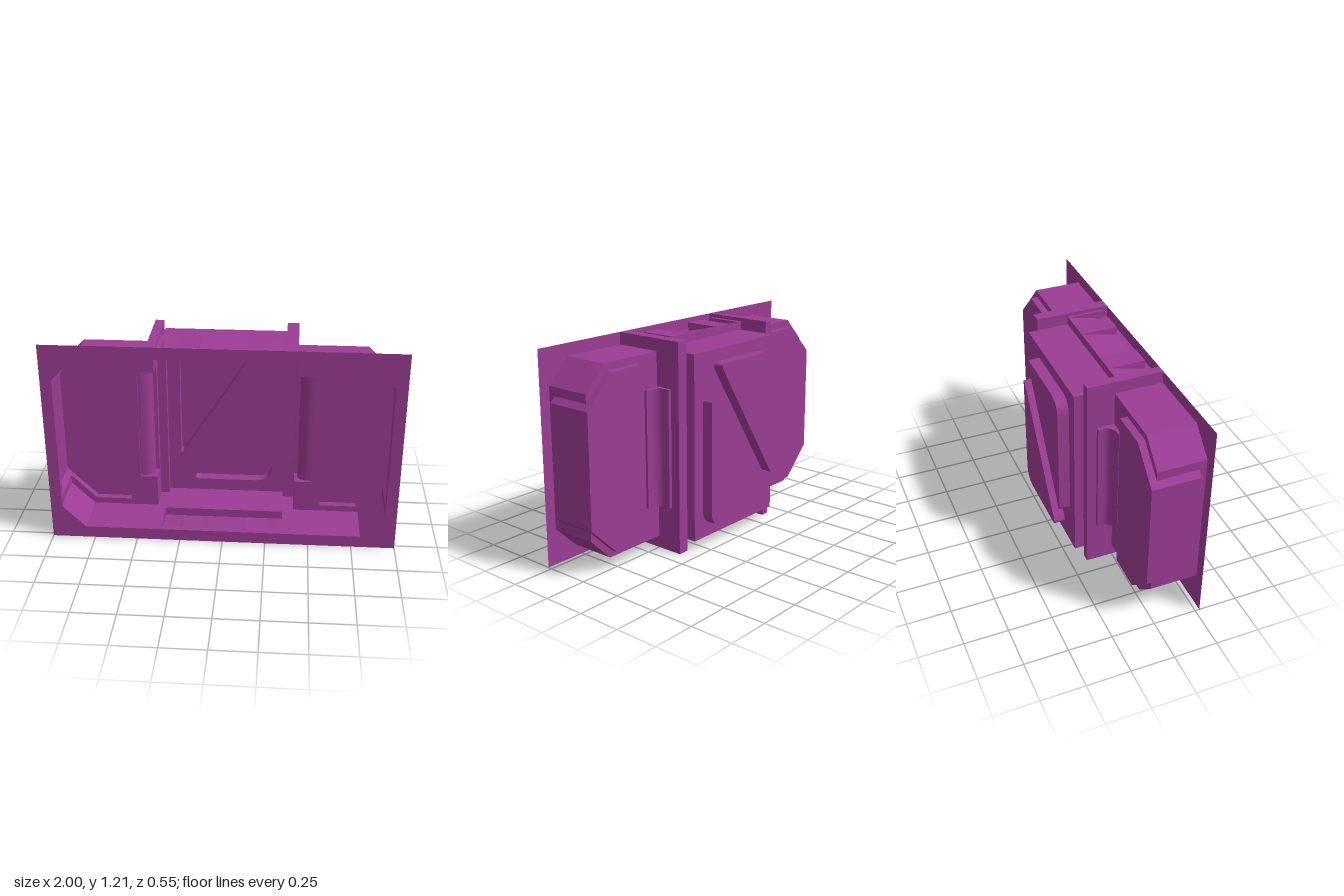
import * as THREE from 'three';
import { toCreasedNormals } from 'three/addons/utils/BufferGeometryUtils.js';

const material = new THREE.MeshStandardMaterial({ color: 0x9c3c94, side: THREE.DoubleSide });

// Drawing planes: (u, v) on the sheet, w across it
const XY = (u, v, w) => [u, v, w];
const XZ = (u, v, w) => [u, w, v];
const ZY = (u, v, w) => [w, v, u];

const vec = (pts) => pts.map(([x, y]) => new THREE.Vector2(x, y));
const mirror = (pts, s) => pts.map(([x, y]) => [s * x, y]);

function finish(geo, name) {
  const mesh = new THREE.Mesh(toCreasedNormals(geo, 0.6), material);
  mesh.name = name;
  return mesh;
}

// Flat sheet with holes
function plate(name, pts, w, map = XY, holes = []) {
  const shape = new THREE.Shape(vec(pts));
  shape.holes = holes.map((h) => new THREE.Path(vec(h)));
  const geo = new THREE.ShapeGeometry(shape);
  const p = geo.attributes.position;
  for (let i = 0; i < p.count; i++) p.setXYZ(i, ...map(p.getX(i), p.getY(i), w));
  return finish(geo, name);
}

// Sheet swept across a plane along an outline
function wall(name, pts, w0, w1, map = XY, closed = false) {
  const pos = [];
  const n = closed ? pts.length : pts.length - 1;
  for (let i = 0; i < n; i++) {
    const a = pts[i], b = pts[(i + 1) % pts.length];
    const q = [map(...a, w0), map(...b, w0), map(...b, w1), map(...a, w1)];
    [0, 1, 2, 0, 2, 3].forEach((k) => pos.push(...q[k]));
  }
  const geo = new THREE.BufferGeometry();
  geo.setAttribute('position', new THREE.Float32BufferAttribute(pos, 3));
  return finish(geo, name);
}

// Polygon with rounded corners; each corner is [x, y, radius]
function rounded(corners) {
  const out = [];
  corners.forEach(([x, y, r], i) => {
    const c = new THREE.Vector2(x, y);
    const toward = (k) => {
      const [px, py] = corners[(i + k + corners.length) % corners.length];
      return new THREE.Vector2(px, py).sub(c).setLength(r).add(c);
    };
    const curve = new THREE.QuadraticBezierCurve(toward(-1), c, toward(1));
    curve.getPoints(8).forEach((p) => out.push([p.x, p.y]));
  });
  return out;
}

const F = 0.275, LOW = 0.07, HIGH = 1.14;   // flange plane, tray floor and roof
const LEFT = 0.345, RIGHT = -0.36;          // sides of the raised centre panel

export function createModel() {
  const model = new THREE.Group();
  const add = (...m) => model.add(...m);

  // Front flange with octagonal opening
  add(plate('frontFlange', [[-1, 0], [1, 0], [1, 1.21], [-1, 1.21]], F, XY, [[
    [-0.8, LOW], [0.8, LOW], [0.935, 0.205], [0.935, 1.005],
    [0.8, HIGH], [-0.8, HIGH], [-0.935, 1.005], [-0.935, 0.205]]]));

  // Roof and floor with vent slots
  const slot = rounded([[-0.38, 0.03, 0.05], [0.38, 0.03, 0.05], [0.38, 0.245, 0.05], [-0.38, 0.245, 0.05]]);
  const deck = [[-0.8, F], [0.8, F], [0.8, 0], [0.41, 0], [0.41, -0.155], [LEFT, -0.155],
    [LEFT, -0.21], [RIGHT, -0.21], [RIGHT, -0.155], [-0.41, -0.155], [-0.41, 0], [-0.8, 0]];
  for (const [y, s, name] of [[HIGH, 1, 'roof'], [LOW, -1, 'floor']]) {
    add(plate(name, deck, y, XZ, [slot]));
    const top = y + s * 0.05;
    add(wall(name + 'VentBack', [[-0.38, y], [0.38, y]], 0.03, 0.03 + 1e-4));
    add(plate(name + 'VentBack', [[-0.38, y], [0.38, y], [0.38, top], [-0.38, top]], 0.03));
    // Sloping louvres
    for (const [a, b] of [[-0.33, -0.25], [-0.13, 0.13], [0.25, 0.33]]) {
      add(wall(name + 'Louvre', [[0.245, y], [0.03, top]], a, b, ZY));
    }
    // Wedge blocks between the louvres
    for (const [a, b] of [[-0.38, -0.33], [-0.25, -0.13], [0.13, 0.25], [0.33, 0.38]]) {
      add(wall(name + 'Wedge', [[0.245, y], [0.245, top], [0.03, top]], a, b, ZY));
      for (const x of [a, b]) {
        const end = Math.abs(x) > 0.37;
        add(plate(name + 'WedgeSide', [[0.245, y], [0.245, top], [0.03, top], ...(end ? [[0.03, y]] : [])], x, ZY));
      }
    }
  }

  for (const s of [1, -1]) {
    const side = s > 0 ? 'left' : 'right';
    const inner = s > 0 ? LEFT : -RIGHT;
    const m = (pts) => mirror(pts, s);

    // Tray end and its bevelled corners
    add(plate(side + 'EndWall', [[F, 0.205], [F, 1.005], [0, 1.005], [0, 0.955], [0.235, 0.955],
      [0.235, 0.255], [0, 0.255], [0, 0.205]], s * 0.935, ZY));
    add(wall(side + 'UpperBevel', m([[0.8, HIGH], [0.935, 1.005]]), 0, F));
    add(wall(side + 'LowerBevel', m([[0.8, LOW], [0.935, 0.205]]), 0, F));

    // Tray back around the raised end panel and the cove
    add(plate(side + 'TrayBack', m([[0.41, LOW], [0.8, LOW], [0.935, 0.205], [0.935, 0.255], [0.785, 0.107],
      [0.57, 0.107], [0.57, 1.1], [0.785, 1.1], [0.935, 0.955], [0.935, 1.005], [0.8, HIGH], [0.41, HIGH],
      [0.41, 0.945], [0.51, 0.945], [0.51, 0.265], [0.41, 0.265]]), 0));

    // Raised panel wrapping round the end
    const lip = [[0.935, 0.255], [0.965, 0.285], [0.965, 0.925], [0.935, 0.955]];
    const rim = [[0.935, 0.955], [0.785, 1.1], [0.57, 1.1], [0.57, 0.107], [0.785, 0.107], [0.935, 0.255]];
    add(plate(side + 'EndPanel', m([...lip, ...rim.slice(1, -1)]), -0.04));
    add(wall(side + 'EndPanelRim', m(rim), -0.04, 0));
    add(wall(side + 'EndPanelSide', m(lip), -0.04, 0.235));
    add(plate(side + 'EndPanelLip', m(lip), 0.235));

    // Step wall up to the centre, open to the cove
    add(plate(side + 'StepWall', [[0, LOW], [-0.155, LOW], [-0.155, HIGH], [0, HIGH], [0, 0.945],
      [-0.1, 0.945], [-0.1, 0.265], [0, 0.265]], s * 0.41, ZY));

    // Hollow cove moulding
    const cove = [[0.41, -0.1], [0.43, -0.1]];
    for (let i = 0; i <= 8; i++) {
      const t = (i / 8) * Math.PI / 2;
      cove.push([0.5 - 0.07 * Math.cos(t), -0.065 + 0.05 * Math.sin(t)]);
    }
    cove.push([0.51, -0.015], [0.51, 0]);
    add(wall(side + 'Cove', m(cove), 0.265, 0.945, XZ));
    for (const y of [0.265, 0.945]) add(plate(side + 'CoveEnd', m([...cove, [0.41, 0]]), y, XZ));

    // Vertical rib with rails running forward to the flange
    add(plate(side + 'RibFace', m([[inner, 0], [0.41, 0], [0.41, 1.21], [inner, 1.21]]), -0.155));
    add(wall(side + 'RibInnerWall', m([[inner, LOW], [inner, HIGH]]), -0.21, -0.155));
    for (const y of [0.035, 1.175]) {
      const rail = new THREE.Mesh(new THREE.BoxGeometry(0.41 - inner, 0.07, 0.43), material);
      rail.position.set(s * (0.41 + inner) / 2, y, 0.06);
      rail.name = side + 'Rail';
      add(rail);
    }
  }

  // Centre panel with two hollow raised triangles
  const triangles = [
    rounded([[-0.287, 1.07, 0.1], [0.2, 1.07, 0.045], [-0.287, 0.31, 0.045]]),
    rounded([[0.275, 0.145, 0.1], [-0.215, 0.145, 0.045], [0.275, 0.895, 0.045]]),
  ];
  add(plate('centrePanel', [[RIGHT, LOW], [LEFT, LOW], [LEFT, HIGH], [RIGHT, HIGH]], -0.21, XY, triangles));
  for (const t of triangles) {
    add(plate('triangleFace', t, -0.275), wall('triangleRim', t, -0.275, -0.21, XY, true));
  }
  return model;
}
